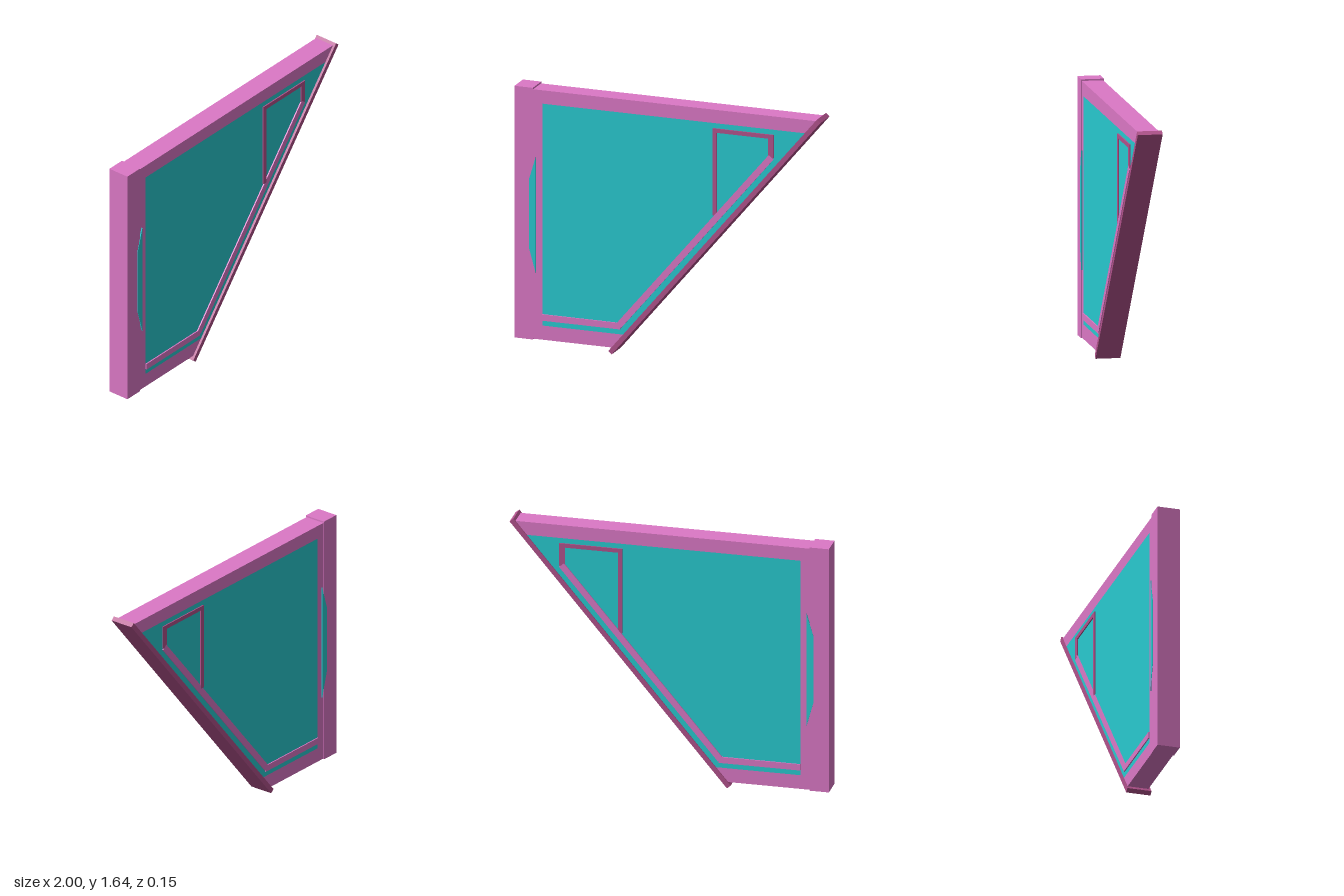
import * as THREE from 'three';

const pink = new THREE.MeshStandardMaterial({ color: 0xdc78c6 });
const rose = new THREE.MeshStandardMaterial({ color: 0xb2528c });
const cyan = new THREE.MeshStandardMaterial({ color: 0x28cad0 });

const FRONT = 0.062, BACK = -0.07;

// Flat slab with the given outline between two depths
function slab(name, points, z0, z1, material) {
  const shape = new THREE.Shape(points.map(([x, y]) => new THREE.Vector2(x, y)));
  const geometry = new THREE.ExtrudeGeometry(shape, { depth: z1 - z0, bevelEnabled: false });
  const mesh = new THREE.Mesh(geometry, material);
  mesh.position.z = z0;
  mesh.name = name;
  return mesh;
}

// Straight bar between two points in the panel plane
function bar(name, [x0, y0], [x1, y1], width, z0, z1, material) {
  const length = Math.hypot(x1 - x0, y1 - y0);
  const mesh = new THREE.Mesh(new THREE.BoxGeometry(length, width, z1 - z0), material);
  mesh.position.set((x0 + x1) / 2, (y0 + y1) / 2, (z0 + z1) / 2);
  mesh.rotation.z = Math.atan2(y1 - y0, x1 - x0);
  mesh.name = name;
  return mesh;
}

export function createModel() {
  const model = new THREE.Group();
  model.name = 'slantedPanel';

  // C-shaped frame, open along the slanted side
  const slant = (y) => -0.3735 + (y - 0.01) * 0.841;
  model.add(slab('frame', [
    [-0.96, 0.04], [slant(0.04), 0.04], [slant(0.13), 0.13], [-0.82, 0.13],
    [-0.82, 1.54], [slant(1.54), 1.54], [slant(1.625), 1.625], [-0.96, 1.625],
  ], BACK, FRONT, pink));

  // Pane filling the frame up to the slanted rail
  model.add(slab('pane', [
    [-0.82, 0.13], [slant(0.13), 0.13], [slant(1.54), 1.54], [-0.82, 1.54],
  ], BACK, FRONT, cyan));

  // Upright post
  model.add(bar('post', [-0.94, 0.036], [-0.94, 1.635], 0.12, -0.075, 0.067, pink));

  // Slanted rail
  model.add(bar('slantedRail', [-0.3735, 0.01], [0.9885, 1.63], 0.03, -0.077, 0.077, rose));

  // Raised trim and grip inlay on both faces
  const faces = [['front', FRONT - 0.005, FRONT + 0.008], ['back', BACK - 0.007, BACK + 0.005]];
  for (const [side, z0, z1] of faces) {
    const trim = new THREE.Group();
    trim.name = side + 'Trim';
    trim.add(
      bar('bottomTrim', [-0.82, 0.183], [-0.31, 0.183], 0.04, z0, z1, pink),
      bar('slantedTrim', [-0.32, 0.185], [0.675, 1.365], 0.04, z0, z1, pink),
      bar('windowSideTrim', [0.308, 0.955], [0.308, 1.508], 0.026, z0, z1, rose),
      bar('windowTopTrim', [0.296, 1.495], [0.69, 1.495], 0.026, z0, z1, rose),
      bar('windowEndTrim', [0.672, 1.36], [0.672, 1.508], 0.036, z0, z1, rose),
      slab('gripInlay', [[-0.86, 0.46], [-0.86, 1.2], [-0.905, 1.05], [-0.905, 0.62]], z0, z1, cyan),
    );
    model.add(trim);
  }
  return model;
}
